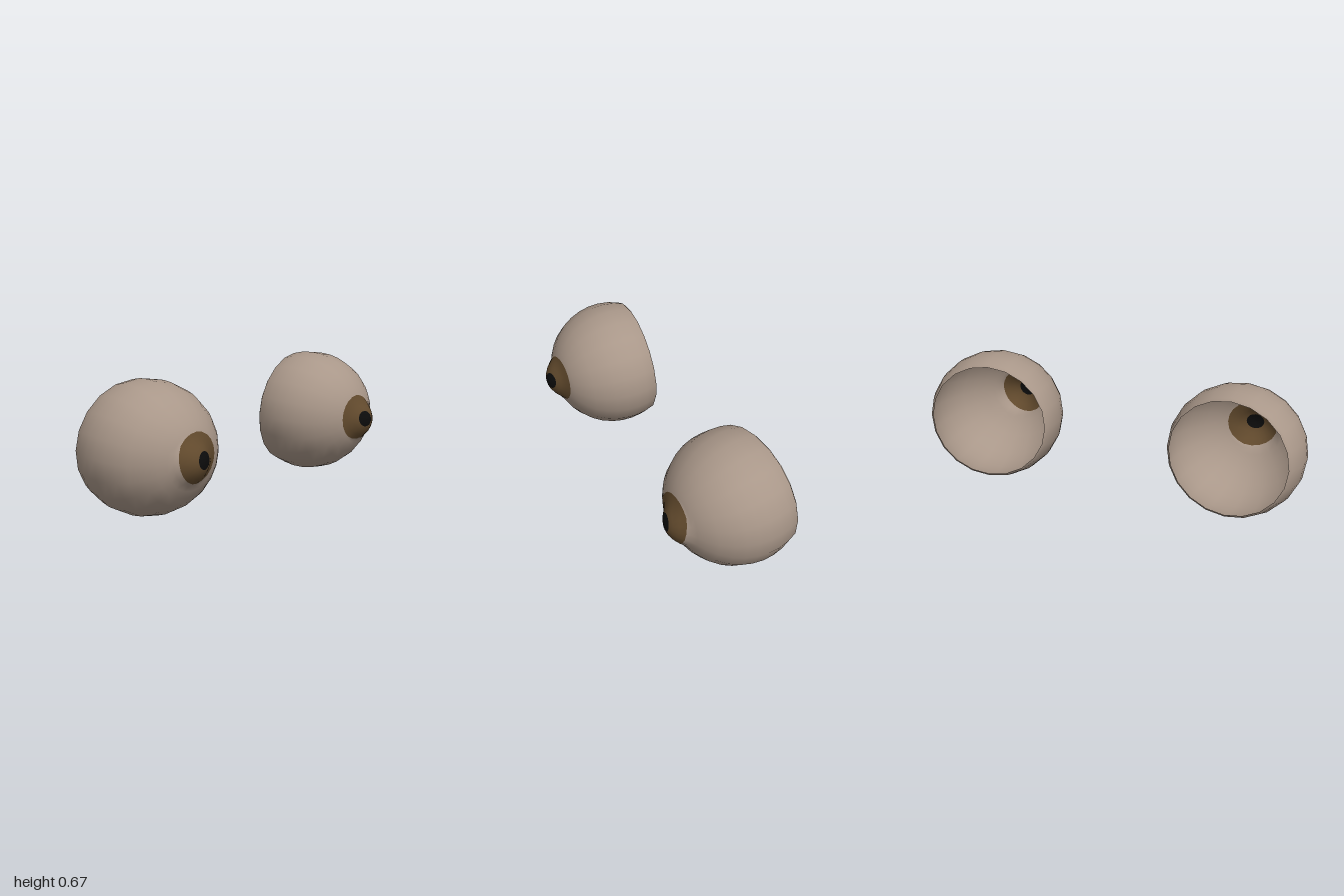
import * as THREE from 'three';

const SIDES = 20;
const R = 0.347; // ball radius
const RIM_Z = -0.13; // where the open back is cut

const material = (name, color) => {
  const m = new THREE.MeshStandardMaterial({ color, side: THREE.DoubleSide });
  m.name = name;
  return m;
};

// Front surface: ball with a cornea bulge on its axis
const frontHeight = (d) => Math.max(Math.sqrt(Math.max(R * R - d * d, 0)), 0.394 - 4.8 * d * d);

// Rings from the pupil centre to the open rim. The coloured rings are centred
// off the ball's axis (shift 1); the shift fades out towards the equator.
function makeRings() {
  const rings = [];
  for (const r of [0, 0.022, 0.044, 0.07, 0.098, 0.127]) rings.push({ r, shift: 1 });
  for (const r of [0.143, 0.165, 0.2, 0.24, 0.28]) rings.push({ r, shift: (0.28 - r) / 0.153 });
  const start = Math.asin(0.28 / R);
  const end = Math.acos(RIM_Z / R);
  for (let i = 1; i <= 6; i++) {
    const a = start + ((end - start) * i) / 6;
    rings.push({ r: R * Math.sin(a), z: R * Math.cos(a), shift: 0 });
  }
  rings.push({ r: 0.307, z: RIM_Z - 0.011, shift: 0 }); // small turned-in lip
  return rings;
}

function eyeGeometry(side) {
  const rings = makeRings();
  const positions = [];
  const index = [];
  for (const { r, z, shift } of rings) {
    for (let j = 0; j < SIDES; j++) {
      const a = (j / SIDES) * Math.PI * 2;
      const x = r * Math.cos(a) - side * 0.032 * shift;
      const y = r * Math.sin(a) + 0.022 * shift;
      positions.push(x, y, z ?? frontHeight(Math.hypot(x, y)));
    }
  }
  const geometry = new THREE.BufferGeometry();
  // Ring bands: 0-1 pupil, 2-4 iris, the rest eyeball
  let start = 0;
  const closeGroup = (slot) => {
    geometry.addGroup(start, index.length - start, slot);
    start = index.length;
  };
  for (let k = 0; k < rings.length - 1; k++) {
    for (let j = 0; j < SIDES; j++) {
      const n = (j + 1) % SIDES;
      const a = k * SIDES + j, b = a + SIDES;
      const c = (k + 1) * SIDES + n, d = k * SIDES + n;
      index.push(a, b, c);
      if (k > 0) index.push(a, c, d);
    }
    if (k === 1) closeGroup(0);
    if (k === 4) closeGroup(1);
  }
  closeGroup(2);
  geometry.setAttribute('position', new THREE.Float32BufferAttribute(positions, 3));
  geometry.setIndex(index);
  geometry.computeVertexNormals();
  return geometry;
}

export function createModel() {
  const model = new THREE.Group();
  model.name = 'eyes';
  const materials = [
    material('pupil black', 0x0c0c0c),
    material('iris brown', 0x624a2d),
    material('eyeball beige', 0xa99789),
  ];

  // Each hollow eye turns slightly outwards and down
  for (const side of [1, -1]) {
    const eye = new THREE.Mesh(eyeGeometry(side), materials);
    eye.name = side > 0 ? 'leftEye' : 'rightEye';
    eye.scale.y = 0.96;
    eye.rotation.set(0.078, side * 0.095, 0);
    eye.position.set(side * 0.653, 0.333, -0.11);
    model.add(eye);
  }
  return model;
}
